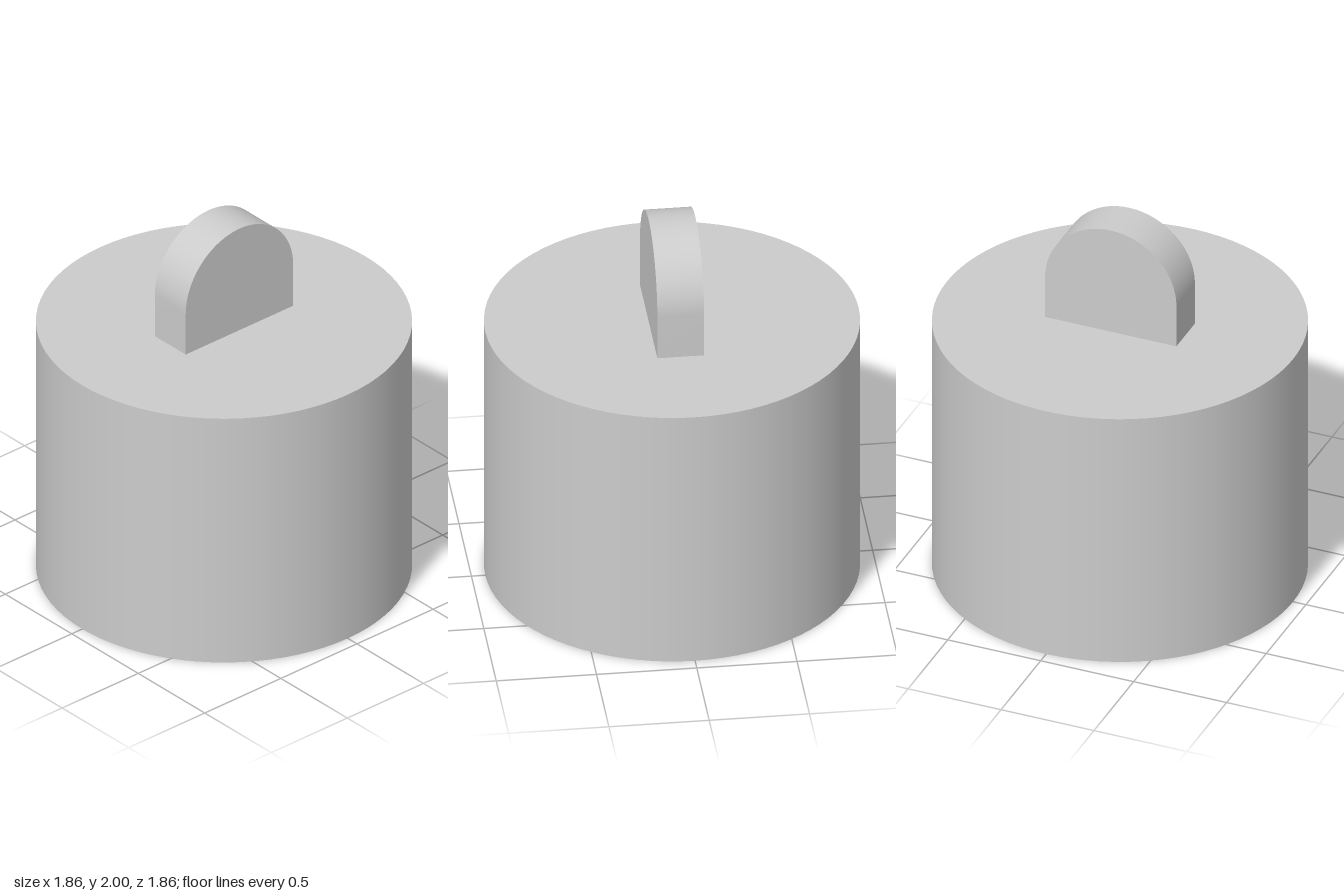
import * as THREE from 'three';
import { toCreasedNormals } from 'three/addons/utils/BufferGeometryUtils.js';

export function createModel() {
  const group = new THREE.Group();
  const material = new THREE.MeshStandardMaterial({ color: 0xcccccc });

  const bodyRadius = 0.931;
  const bodyHeight = 1.412;
  const tabRadius = 0.353;
  const tabThickness = 0.233;

  // Solid round body
  const body = new THREE.Mesh(
    new THREE.CylinderGeometry(bodyRadius, bodyRadius, bodyHeight, 80),
    material
  );
  body.name = 'body';
  body.position.y = bodyHeight / 2;
  group.add(body);

  // Upright tab with straight sides and a half-round top
  const outline = new THREE.Shape();
  outline.moveTo(-tabRadius, 0);
  outline.lineTo(tabRadius, 0);
  outline.lineTo(tabRadius, 2 - tabRadius - bodyHeight);
  outline.absarc(0, 2 - tabRadius - bodyHeight, tabRadius, 0, Math.PI, false);
  outline.closePath();

  const tabGeometry = new THREE.ExtrudeGeometry(outline, {
    depth: tabThickness,
    bevelEnabled: false,
    curveSegments: 40,
  });
  tabGeometry.translate(0, 0, -tabThickness / 2);
  tabGeometry.rotateY(Math.PI / 2);

  const tab = new THREE.Mesh(toCreasedNormals(tabGeometry, 0.5), material);
  tab.name = 'topTab';
  tab.position.y = bodyHeight;
  group.add(tab);

  return group;
}
